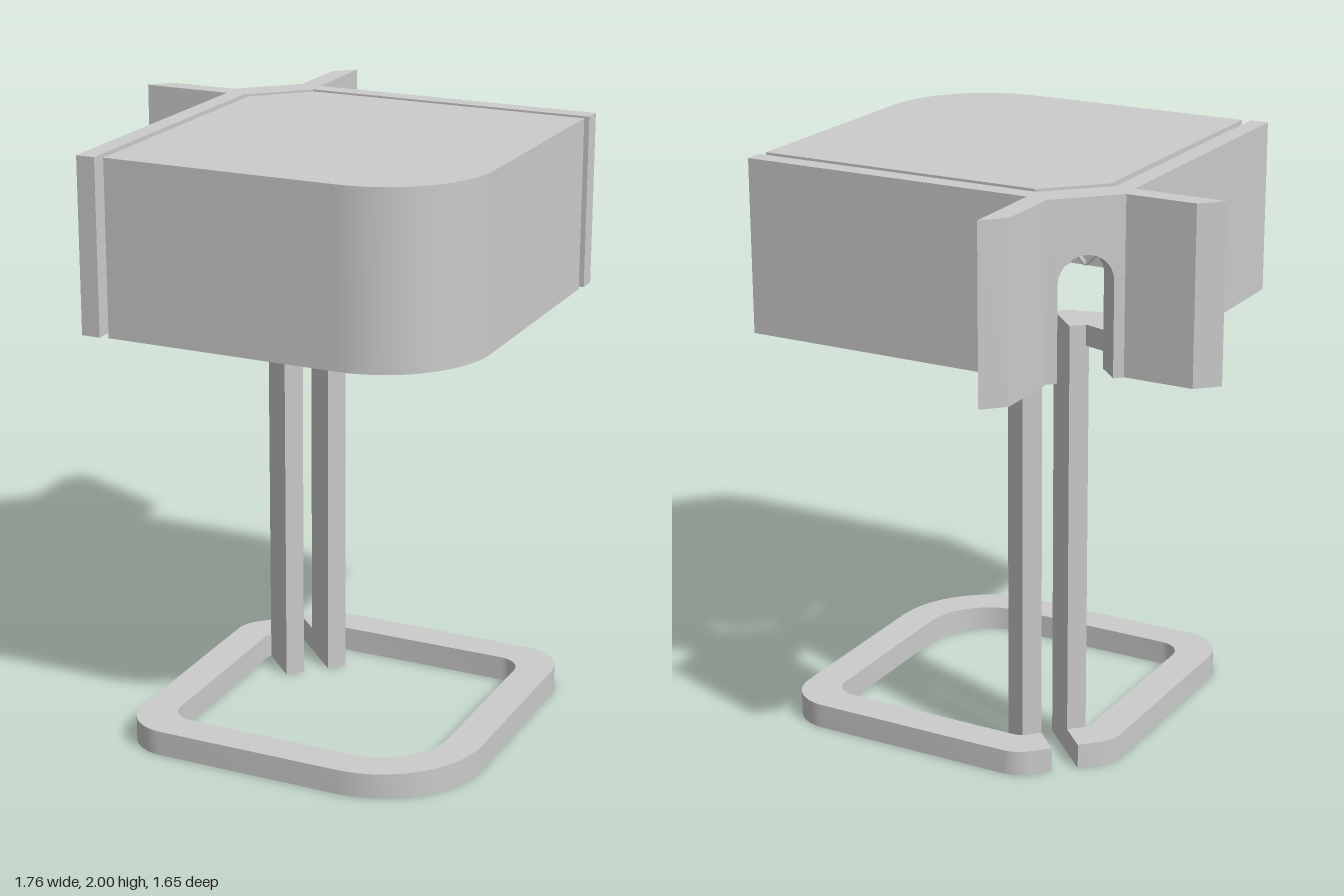
import * as THREE from 'three';
import { mergeGeometries, toCreasedNormals } from 'three/addons/utils/BufferGeometryUtils.js';

const material = new THREE.MeshStandardMaterial({ color: 0xcccccc, side: THREE.DoubleSide });
const V = (x, z) => new THREE.Vector2(x, z);

// Turns corners [x, z, radius] into plan points with true arcs; the ends stay sharp
function roundedPath(corners, steps = 14) {
  const points = [];
  corners.forEach(([x, z, r], i) => {
    const p = V(x, z);
    if (!r) return points.push(p);
    const prev = corners[i - 1], next = corners[i + 1];
    const a = V(prev[0], prev[1]).sub(p).normalize();
    const b = V(next[0], next[1]).sub(p).normalize();
    const half = Math.acos(a.dot(b)) / 2;
    const t = r / Math.tan(half);
    const centre = p.clone().add(a.clone().add(b).normalize().multiplyScalar(r / Math.sin(half)));
    const from = p.clone().addScaledVector(a, t).sub(centre);
    const to = p.clone().addScaledVector(b, t).sub(centre);
    const turn = Math.atan2(from.cross(to), from.dot(to));
    for (let k = 0; k <= steps; k++) {
      points.push(from.clone().rotateAround(V(0, 0), turn * k / steps).add(centre));
    }
  });
  return points;
}

// Upright prism over a plan outline (x, z)
function prism(points, bottom, top) {
  const geometry = new THREE.ExtrudeGeometry(new THREE.Shape(points), { depth: top - bottom, bevelEnabled: false });
  geometry.rotateX(Math.PI / 2).translate(0, top, 0);
  return toCreasedNormals(geometry, 0.5);
}

const band = (outer, inner, bottom, top) => prism([...outer, ...inner.slice().reverse()], bottom, top);
const mirrored = (corners) => [...corners, ...corners.slice(0, -1).reverse().map(([x, z, r]) => [-x, z, r])];

// Crossing diagonal bars that follow a plan path
function lattice(points, bottom, top, pitch, radius) {
  const path = new THREE.CurvePath();
  for (let i = 1; i < points.length; i++) {
    path.add(new THREE.LineCurve3(
      new THREE.Vector3(points[i - 1].x, 0, points[i - 1].y),
      new THREE.Vector3(points[i].x, 0, points[i].y)));
  }
  const length = path.getLength(), height = top - bottom, bars = [];
  for (let start = -height + pitch / 2; start < length; start += pitch) {
    const t0 = Math.max(0, -start), t1 = Math.min(height, length - start);
    if (t1 - t0 < 0.02) continue;
    for (const rising of [true, false]) {
      const line = [];
      for (let k = 0; k <= 10; k++) {
        const t = t0 + (t1 - t0) * k / 10;
        const p = path.getPointAt(Math.min(1, Math.max(0, (start + t) / length)));
        line.push(p.setY(rising ? bottom + t : top - t));
      }
      bars.push(new THREE.TubeGeometry(new THREE.CatmullRomCurve3(line), 14, radius, 4));
    }
  }
  return mergeGeometries(bars);
}

export function createModel() {
  const model = new THREE.Group();
  const add = (name, geometry) => {
    const mesh = new THREE.Mesh(geometry, material);
    mesh.name = name;
    model.add(mesh);
    return mesh;
  };

  // Base: rounded ring, open at the back between the posts
  add('baseRing', band(
    roundedPath(mirrored([[0.045, -0.48], [0.17, -0.48, 0.12], [0.81, 0.16, 0.15], [0, 0.97, 0.36]])),
    roundedPath(mirrored([[0.045, -0.36], [0.12, -0.36, 0.06], [0.64, 0.16, 0.08], [0, 0.8, 0.24]])),
    0, 0.085));

  // Shade: curved front wall, flat cap and inner mesh
  const front = roundedPath([[0.81, 0.16], [0, 0.97, 0.36], [-0.81, 0.16]], 24);
  const frontInner = roundedPath([[0.796, 0.146], [0, 0.942, 0.34], [-0.796, 0.146]], 24);
  add('shadeFront', band(front, frontInner, 1.42, 1.98));
  add('shadeCap', prism([...front, V(-0.12, -0.53), V(0.12, -0.53)], 1.98, 2));
  add('shadeMesh', lattice(
    roundedPath([[0.765, 0.145], [0, 0.91, 0.32], [-0.765, 0.145]], 24), 1.43, 1.97, 0.09, 0.008));

  // Back plate with an arched opening
  const plate = new THREE.Shape();
  plate.moveTo(-0.125, 1.42).lineTo(-0.125, 2).lineTo(0.125, 2).lineTo(0.125, 1.42).lineTo(0.09, 1.42);
  plate.lineTo(0.09, 1.73).absarc(0, 1.73, 0.09, 0, Math.PI, false).lineTo(-0.09, 1.42);
  const plateGeometry = new THREE.ExtrudeGeometry(plate, { depth: 0.1, bevelEnabled: false, curveSegments: 20 });
  add('backPlate', toCreasedNormals(plateGeometry.translate(0, 0, -0.665), 0.5));

  // Lamp holder behind the arch
  add('lampStem', new THREE.CylinderGeometry(0.03, 0.03, 0.14, 20).translate(0, 1.91, -0.3));
  add('lampHolder', new THREE.CylinderGeometry(0.055, 0.065, 0.14, 24).translate(0, 1.77, -0.3));

  for (const side of [1, -1]) {
    const name = side > 0 ? 'left' : 'right';
    const plan = (...pairs) => pairs.map(([x, z]) => V(x * side, z));

    add(name + 'Post', new THREE.BoxGeometry(0.065, 1.5, 0.17).translate(side * 0.0775, 0.75, -0.275));

    // Diagonal panel with its flared rear tab
    add(name + 'Wing', prism(plan([0.125, -0.565], [0.835, 0.145], [0.88, 0.1], [0.17, -0.61],
      [0.385, -0.83], [0.29, -0.83], [0.125, -0.665]), 1.42, 2));

    // Thin rear wall of the shade
    add(name + 'ShadeBack', prism(plan([0.25, -0.4], [0.81, 0.16], [0.796, 0.174], [0.236, -0.386]), 1.44, 1.98));

    // Gusset from post to wing
    add(name + 'Gusset', prism(plan([0.1, -0.36], [0.18, -0.51], [0.35, -0.34], [0.31, -0.31], [0.1, -0.2]), 1.43, 1.5));

    // Spacer pins between wing and shade
    for (const [x, z] of [[0.61, -0.06], [0.745, 0.075]]) {
      for (const y of [1.5, 1.9]) {
        const pin = add(name + 'SpacerPin', new THREE.CylinderGeometry(0.013, 0.013, 0.07, 12));
        pin.rotation.set(0, side * Math.PI / 4, Math.PI / 2);
        pin.rotation.order = 'YXZ';
        pin.position.set(side * x, y, z);
      }
    }
  }
  return model;
}
